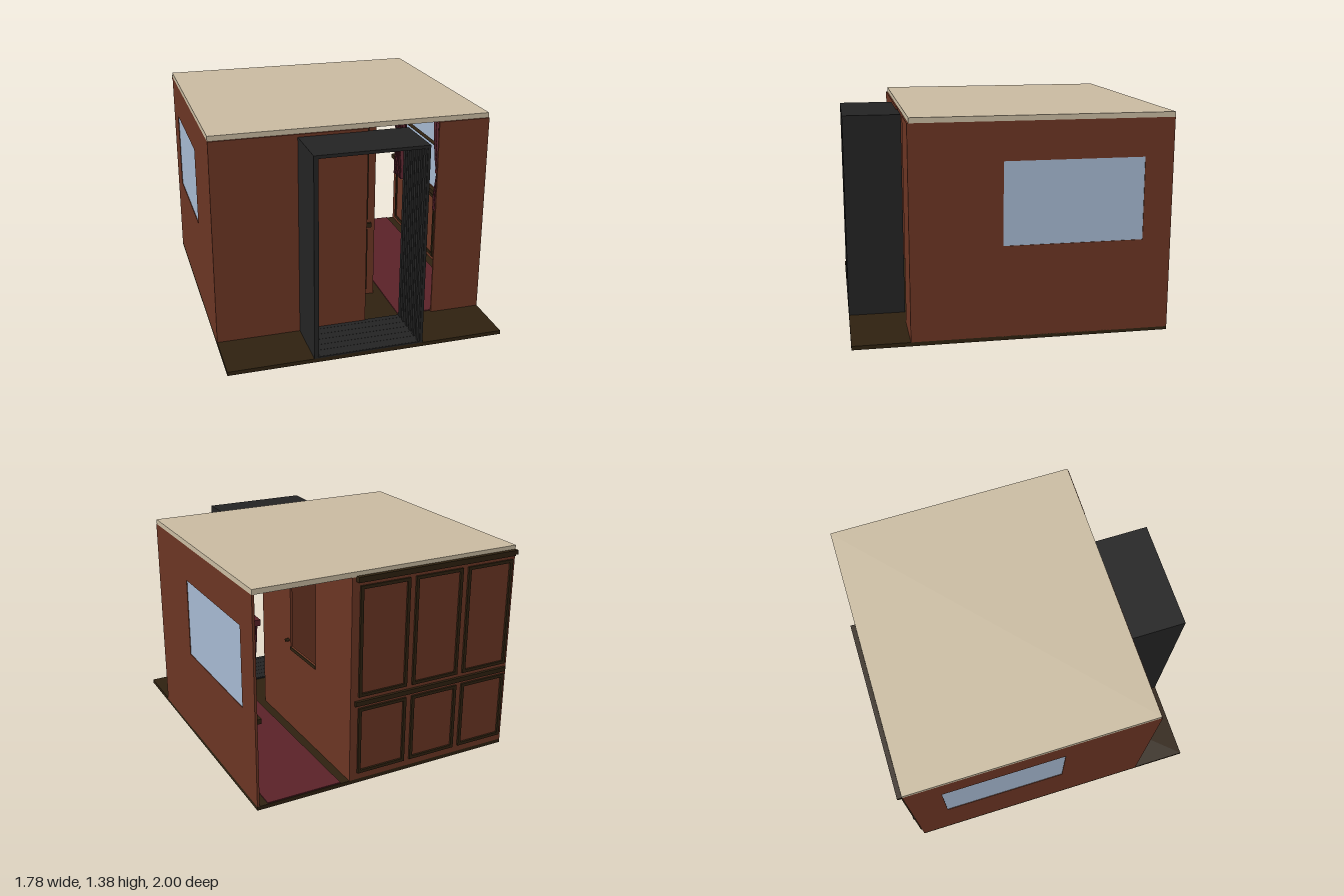
import * as THREE from 'three';

const mat = (name, color, extra = {}) => {
  const m = new THREE.MeshStandardMaterial({ color, ...extra });
  m.name = name;
  return m;
};

export function createModel() {
  const wood = mat('wood', 0x6b3523);
  const trim = mat('dark trim', 0x2e2110);
  const rubber = mat('black rubber', 0x232323);
  const cream = mat('cream', 0xc8baa0);
  const glass = mat('glass', 0xa5b8d0);
  const carpetRed = mat('carpet red', 0x5a2228);
  const cloth = mat('curtain cloth', 0x56202a, { side: THREE.DoubleSide });

  const model = new THREE.Group();
  model.name = 'railCarriageSection';

  const add = (name, geo, m, parent = model) => {
    const mesh = new THREE.Mesh(geo, m);
    mesh.name = name;
    parent.add(mesh);
    return mesh;
  };
  // box given by its limits on each axis
  const box = (name, m, x0, x1, y0, y1, z0, z1, parent = model) => {
    const mesh = add(name, new THREE.BoxGeometry(x1 - x0, y1 - y0, z1 - z0), m, parent);
    mesh.position.set((x0 + x1) / 2, (y0 + y1) / 2, (z0 + z1) / 2);
    return mesh;
  };
  const rect = (P, x0, x1, y0, y1) => {
    const p = new P();
    p.moveTo(x0, y0).lineTo(x1, y0).lineTo(x1, y1).lineTo(x0, y1).closePath();
    return p;
  };
  // flat plate with rectangular holes, lying in xy
  const plate = (outer, holes, depth) => {
    const s = rect(THREE.Shape, ...outer);
    holes.forEach(h => s.holes.push(rect(THREE.Path, ...h)));
    return new THREE.ExtrudeGeometry(s, { depth, bevelEnabled: false });
  };
  const frame = (x0, x1, y0, y1, w, depth) =>
    plate([x0, x1, y0, y1], [[x0 + w, x1 - w, y0 + w, y1 - w]], depth);
  // turns a plate so that its local x runs along -z and its depth along +x
  const turn = (mesh, x) => {
    mesh.rotation.y = Math.PI / 2;
    mesh.position.x = x;
    return mesh;
  };

  // floor, carpet and roof
  box('floor', trim, -0.89, 0.89, 0, 0.025, -0.97, 1);
  box('corridorCarpet', carpetRed, 0.33, 0.82, 0.025, 0.031, -0.965, 0.625);
  box('roof', cream, -0.89, 0.89, 1.35, 1.382, -0.97, 0.635);

  // side walls with windows
  for (const [name, x, z0, z1] of [['leftWall', 0.875, -0.79, 0.08], ['rightWall', -0.89, -0.75, 0.045]]) {
    const win = [-z1, -z0, 0.597, 1.113];
    turn(add(name, plate([-0.645, 0.97, 0.02, 1.35], [win], 0.015), wood), x);
    box(name + 'Window', glass, x + 0.004, x + 0.011, 0.597, 1.113, z0, z1);
  }

  // front wall either side of the full height doorway
  box('frontWallWide', wood, -0.875, 0.09, 0.025, 1.35, 0.632, 0.645);
  box('frontWallNarrow', wood, 0.555, 0.875, 0.025, 1.35, 0.632, 0.645);

  // compartment end walls, panelled on the outside
  const endWall = (name, z, back) => {
    const g = new THREE.Group();
    g.name = name;
    box(name + 'Board', wood, -0.875, 0.27, 0.025, 1.35, -0.015, 0, g);
    for (const [x0, x1] of [[-0.87, -0.535], [-0.495, -0.16], [-0.12, 0.218]]) {
      add('lowerMoulding', frame(x0, x1, 0.07, 0.515, 0.02, 0.013), trim, g);
      add('upperMoulding', frame(x0, x1, 0.592, 1.295, 0.02, 0.013), trim, g);
    }
    box('chairRail', trim, -0.875, 0.243, 0.536, 0.566, 0, 0.018, g);
    box('cornice', trim, -0.875, 0.243, 1.322, 1.35, 0, 0.028, g);
    g.position.z = z;
    if (back) g.scale.z = -1;
    model.add(g);
  };
  endWall('compartmentFrontWall', 0.28, false);
  endWall('compartmentBackWall', -0.97, true);
  box('backCorniceCap', trim, -0.89, 0.243, 1.33, 1.357, -1, -0.972);

  // corridor partition with a half glazed door opening
  turn(add('corridorPartition',
    plate([-0.265, 0.955, 0.025, 1.35], [[0.16, 0.52, 0.62, 1.28]], 0.015), wood), 0.255);
  for (const y of [0.6, 1.28]) box('doorRail', trim, 0.27, 0.276, y, y + 0.022, -0.52, -0.16);
  const knob = add('doorHandle', new THREE.CylinderGeometry(0.011, 0.011, 0.03, 12), trim);
  knob.rotation.z = Math.PI / 2;
  knob.position.set(0.28, 0.66, -0.13);

  // corridor wainscot under the window
  for (let i = 0; i < 3; i++) {
    const u = 0.9 - i * 0.43;
    turn(add('wainscotMoulding', frame(u - 0.37, u, 0.055, 0.54, 0.02, 0.01), trim), 0.865);
  }
  box('windowSill', trim, 0.845, 0.875, 0.562, 0.592, -0.96, 0.63);

  // handrail across the window
  const rail = add('handrail', new THREE.CylinderGeometry(0.012, 0.012, 0.75, 12), trim);
  rail.rotation.x = Math.PI / 2;
  rail.position.set(0.85, 0.95, -0.355);
  for (const z of [-0.7, -0.01]) box('handrailBracket', trim, 0.85, 0.88, 0.94, 0.96, z - 0.01, z + 0.01);

  // pleated curtains, gathered by a tie at mid height
  const curtain = () => {
    const geo = new THREE.PlaneGeometry(1, 0.68, 48, 20);
    const p = geo.attributes.position;
    for (let i = 0; i < p.count; i++) {
      const u = p.getX(i), y = p.getY(i) + 0.81;
      const d = y - 0.78;
      const w = d > 0 ? 0.08 + 0.2 * Math.sqrt(d / 0.37) : 0.08 + 0.1 * Math.min(1, -d / 0.2);
      p.setXYZ(i, u * w, y, 0.016 * Math.sin(u * Math.PI * 12));
    }
    geo.computeVertexNormals();
    return geo;
  };
  for (const z of [-0.76, 0.05]) {
    const g = new THREE.Group();
    g.name = 'curtain';
    add('curtainCloth', curtain(), cloth, g);
    box('curtainTie', carpetRed, -0.046, 0.046, 0.765, 0.795, -0.022, 0.022, g);
    box('curtainPelmet', carpetRed, -0.15, 0.15, 1.14, 1.175, -0.025, 0.025, g);
    g.rotation.y = Math.PI / 2;
    g.position.set(0.84, 0, z);
    model.add(g);
  }

  // corridor ceiling lamp
  const ring = add('lampRing', new THREE.CylinderGeometry(0.112, 0.112, 0.014, 32), trim);
  ring.position.set(0.575, 1.338, -0.165);
  const dome = add('lampDome',
    new THREE.SphereGeometry(0.1, 32, 10, 0, Math.PI * 2, Math.PI / 2, Math.PI / 2), cream);
  dome.scale.y = 0.45;
  dome.position.set(0.575, 1.333, -0.165);

  // gangway: smooth outside shell with pleats inside
  const gangway = new THREE.Group();
  gangway.name = 'gangway';
  model.add(gangway);
  const shell = add('gangwayShell',
    plate([-0.352, 0.352, 0.024, 1.332], [[-0.334, 0.334, 0.034, 1.316]], 0.365), rubber, gangway);
  shell.position.z = 0.635;
  for (let i = 0; i < 6; i++) {
    const pleat = add('gangwayPleat',
      plate([-0.34, 0.34, 0.03, 1.32], [[-0.322, 0.322, 0.035, 1.31]], 0.03), rubber, gangway);
    pleat.position.z = 0.645 + i * 0.062;
    if (i === 5) pleat.position.z = 0.965;
  }
  return model;
}
